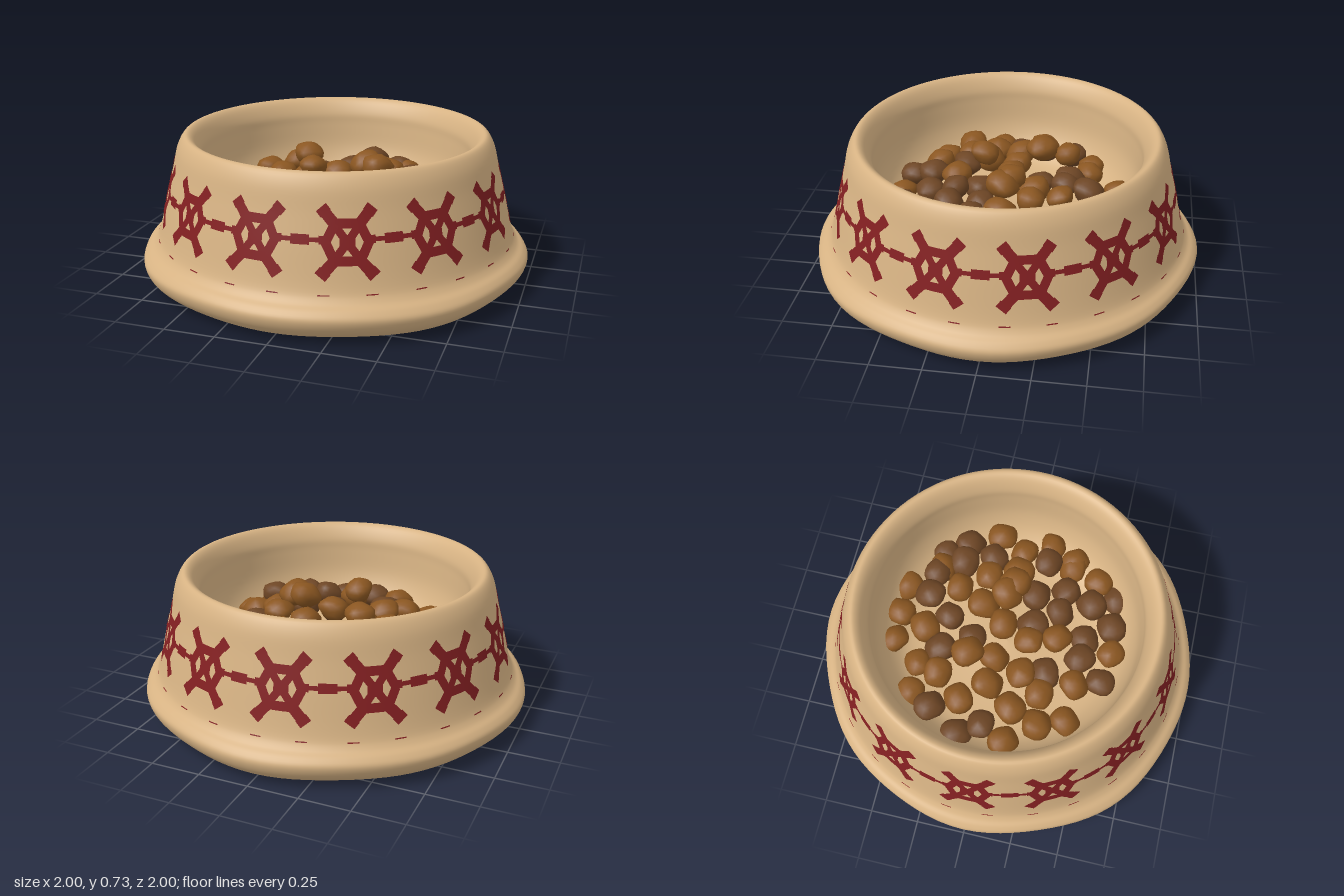
import * as THREE from 'three';
import { mergeGeometries, mergeVertices } from 'three/addons/utils/BufferGeometryUtils.js';

const material = (name, color, extra = {}) => {
  const m = new THREE.MeshStandardMaterial({ color, ...extra });
  m.name = name;
  return m;
};

// Bowl cross-section: foot, outer wall, rim, inner wall and floor
const wallCurve = new THREE.SplineCurve([
  [0.86, 0.006], [0.925, 0.022], [0.98, 0.07], [1.0, 0.125], [0.977, 0.162], [0.938, 0.192],
  [0.908, 0.25], [0.866, 0.42], [0.83, 0.56], [0.803, 0.67], [0.765, 0.73], [0.725, 0.715],
  [0.69, 0.65], [0.682, 0.58], [0.662, 0.45], [0.605, 0.34], [0.5, 0.265], [0.3, 0.25], [0, 0.27],
].map(([r, y]) => new THREE.Vector2(r, y)));
const profile = [new THREE.Vector2(0, 0), new THREE.Vector2(0.6, 0.001), ...wallCurve.getPoints(90)];

// Outer wall radius at a height
function wallRadius(y) {
  const i = profile.findIndex((p, k) => k > 1 && p.y <= y && profile[k + 1].y >= y);
  const a = profile[i], b = profile[i + 1];
  return a.x + (b.x - a.x) * (y - a.y) / (b.y - a.y);
}

// Lathed bowl whose foot is slightly eight-sided and fuller at the front
function makeBowl(mat) {
  const geo = new THREE.LatheGeometry(profile, 96);
  const p = geo.attributes.position;
  for (let i = 0; i < p.count; i++) {
    const x = p.getX(i), y = p.getY(i), z = p.getZ(i), a = Math.atan2(x, z);
    const fade = THREE.MathUtils.clamp((0.22 - y) / 0.08, 0, 1);
    const s = 1 + fade * (0.018 * Math.sin(2 * a) ** 2 * Math.cos(a) - 0.006 * (1 - Math.cos(8 * a)));
    p.setX(i, x * s);
    p.setZ(i, z * s);
  }
  const bowl = new THREE.Mesh(geo, mat);
  bowl.name = 'bowl';
  return bowl;
}

// Flat ribbon wrapped on the wall; a and b are [along, up] around an angle
function stroke(angle, a, b, width, steps = 6) {
  const dx = b[0] - a[0], dy = b[1] - a[1], len = Math.hypot(dx, dy);
  const nx = -dy / len * width / 2, ny = dx / len * width / 2;
  const pos = [], index = [];
  for (let i = 0; i <= steps; i++) {
    const t = i / steps;
    for (const side of [-1, 0, 1]) {
      const y = a[1] + dy * t + ny * side;
      const th = angle + (a[0] + dx * t + nx * side) / 0.86;
      const r = wallRadius(y) + 0.003;
      pos.push(r * Math.sin(th), y, r * Math.cos(th));
    }
    if (i < steps) for (const j of [0, 1]) {
      const k = i * 3 + j;
      index.push(k, k + 3, k + 4, k, k + 4, k + 1);
    }
  }
  const geo = new THREE.BufferGeometry();
  geo.setAttribute('position', new THREE.Float32BufferAttribute(pos, 3));
  geo.setIndex(index);
  geo.computeVertexNormals();
  return geo;
}

// One emblem: six-sided ring, crossed arms, link to the next and two fine dashes
function makeEmblem(angle, pitch, mat) {
  const cy = 0.445, parts = [];
  const add = (x0, y0, x1, y1, w) => parts.push(stroke(angle, [x0, cy + y0], [x1, cy + y1], w));
  const ring = [[0.095, 0], [0.055, 0.08], [-0.055, 0.08], [-0.095, 0], [-0.055, -0.08], [0.055, -0.08]];
  ring.forEach((a, i) => add(...a, ...ring[(i + 1) % 6], 0.042));
  for (const sx of [-1, 1]) for (const sy of [-1, 1]) {
    add(0, 0, sx * 0.06, sy * 0.08, 0.036);
    add(sx * 0.04, sy * 0.06, sx * 0.108, sy * 0.138, 0.05);
    add(sx * 0.094, sy * 0.121, sx * 0.117, sy * 0.149, 0.057);
  }
  add(-0.035, 0, 0.035, 0, 0.065);
  const half = pitch * 0.86 / 2;
  add(0.09, 0.01, 2 * half - 0.09, 0.01, 0.02);
  add(0.09, 0.01, 0.125, 0.01, 0.036);
  add(2 * half - 0.125, 0.01, 2 * half - 0.09, 0.01, 0.036);
  add(half - 0.042, 0.01, half + 0.042, 0.01, 0.044);
  for (const s of [-1, 1]) add(s * 0.1 - 0.025, -0.225, s * 0.1 + 0.025, -0.225, 0.005);
  const mesh = new THREE.Mesh(mergeGeometries(parts), mat);
  mesh.name = 'paintedEmblem';
  return mesh;
}

// Rows of kibble: z, shade of each (L light, D dark), x positions
const rows = [
  [-0.57, 'LLL', -0.15, 0, 0.16],
  [-0.42, 'LLLDDDL', -0.41, -0.26, -0.06, 0.09, 0.23, 0.37, 0.27],
  [-0.3, 'DLDDLDD', -0.47, -0.31, -0.16, 0, 0.16, 0.33, 0.46],
  [-0.15, 'DLLDLLDL', -0.57, -0.42, -0.2, -0.07, 0.1, 0.25, 0.38, 0.54],
  [-0.02, 'DLLLLLLL', -0.5, -0.31, -0.17, 0, 0.15, 0.22, 0.32, 0.45],
  [0.12, 'LLLLDDDL', -0.56, -0.4, -0.22, -0.08, 0.06, 0.22, 0.4, 0.55],
  [0.25, 'LLDLDDLL', -0.45, -0.3, -0.19, 0, 0.14, 0.27, 0.45, 0.48],
  [0.4, 'LLDDDL', -0.39, -0.21, -0.07, 0.05, 0.25, 0.4],
  [0.54, 'DLDD', -0.15, 0.02, 0.16, 0.33],
];

function makeKibble(mats) {
  let seed = 11;
  const rand = () => (seed = (seed * 16807) % 2147483647) / 2147483647;
  // Lumpy pellet
  let geo = new THREE.IcosahedronGeometry(1, 2);
  geo.deleteAttribute('normal');
  geo.deleteAttribute('uv');
  geo = mergeVertices(geo, 1e-3);
  const p = geo.attributes.position, v = new THREE.Vector3();
  for (let i = 0; i < p.count; i++) {
    v.fromBufferAttribute(p, i);
    v.multiplyScalar(1 + 0.06 * Math.sin(4 * v.x + 1) * Math.cos(4 * v.z) + 0.05 * Math.sin(5 * v.y + 2 * v.x));
    p.setXYZ(i, v.x, v.y, v.z);
  }
  geo.computeVertexNormals();

  const pile = new THREE.Group();
  pile.name = 'kibblePile';
  for (const [z, shades, ...xs] of rows) xs.forEach((x, i) => {
    const k = new THREE.Mesh(geo, mats[shades[i]]);
    const mound = Math.max(0, 1 - (x * x + z * z) / 0.36);
    k.position.set(x, 0.335 + mound * (0.08 + 0.2 * rand()), z + (rand() - 0.5) * 0.03);
    k.scale.set(0.079, 0.06, 0.071).multiplyScalar(0.95 + 0.15 * rand());
    k.rotation.set((rand() - 0.5) * 0.7, rand() * 6.28, (rand() - 0.5) * 0.7);
    k.name = 'kibble';
    pile.add(k);
  });
  return pile;
}

export function createModel() {
  const model = new THREE.Group();
  model.name = 'petBowl';
  const clay = material('tanClay', 0xd6b283);
  const paint = material('darkRedPaint', 0x821f21, { side: THREE.DoubleSide });
  const kibbleMats = { L: material('lightKibble', 0x8a5621), D: material('darkKibble', 0x6e4625) };

  model.add(makeBowl(clay));

  // Thirteen emblems around the wall
  const band = new THREE.Group();
  band.name = 'paintedBand';
  const count = 13, pitch = Math.PI * 2 / count;
  for (let i = 0; i < count; i++) band.add(makeEmblem(-0.117 + i * pitch, pitch, paint));
  model.add(band);

  model.add(makeKibble(kibbleMats));
  return model;
}
